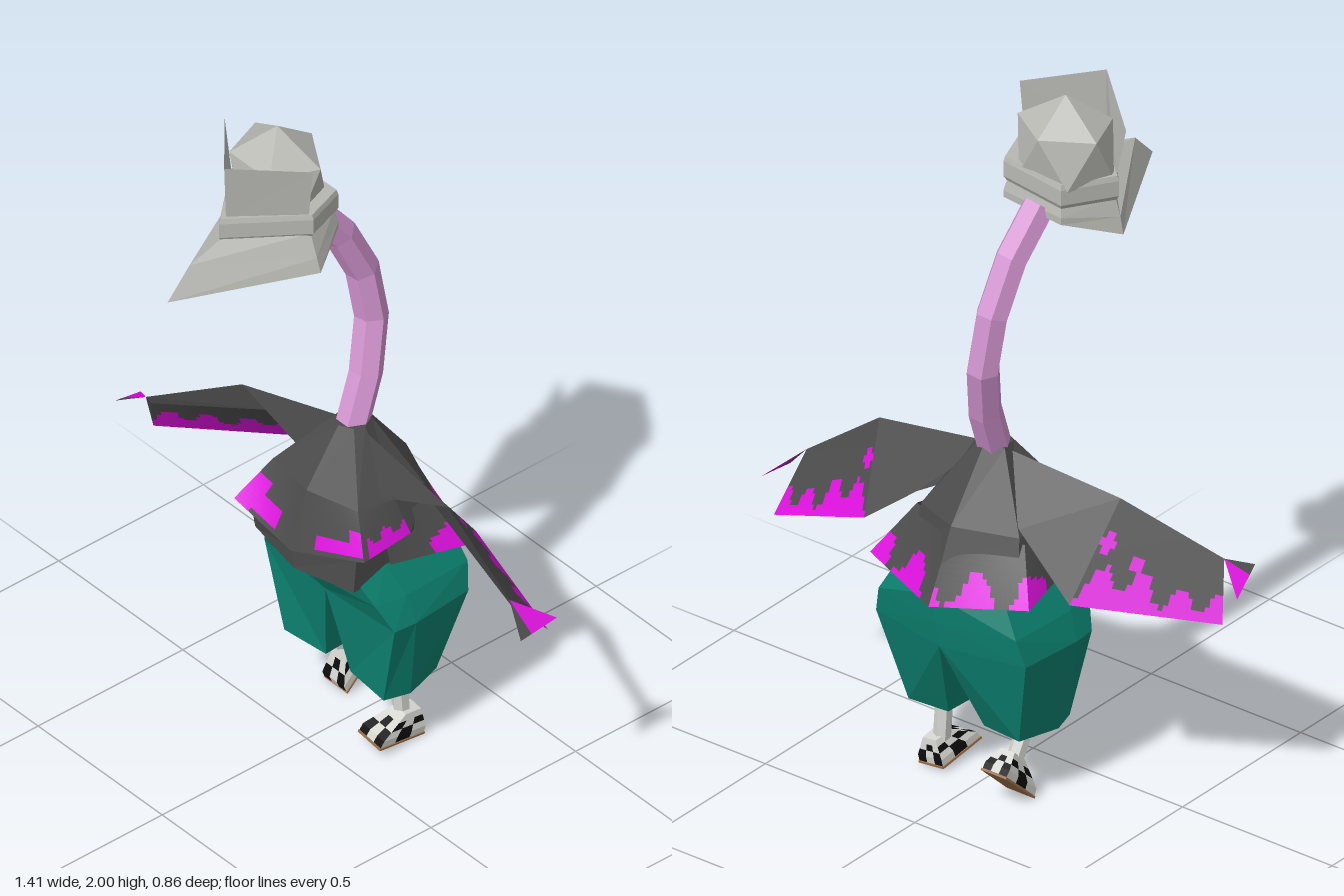
import * as THREE from 'three';

const mat = (name, color, side = THREE.FrontSide) =>
  new THREE.MeshStandardMaterial({ name, color, side, flatShading: true });
const V = (p) => new THREE.Vector3(...p);

export function createModel() {
  const D = THREE.DoubleSide;
  const hatGrey = mat('hatGrey', 0xb8b8b3, D), skin = mat('pinkSkin', 0xd596d2);
  const jacket = mat('charcoal', 0x4b4b4b, D), trim = mat('magenta', 0xdc10dc, D);
  const teal = mat('teal', 0x0c8270), pale = mat('paleGrey', 0xd6d6d1);
  const black = mat('black', 0x0c0c0c), brown = mat('brown', 0xa0724a);
  const model = new THREE.Group();

  // Mesh from triangles sorted by material; closed bodies are turned to face outwards
  function build(name, tris, parent = model, closed = true) {
    let volume = 0;
    for (const [a, b, c] of tris) volume += a.dot(b.clone().cross(c));
    const mats = [...new Set(tris.map((t) => t[3]))];
    const pos = [], geo = new THREE.BufferGeometry();
    mats.forEach((m, k) => {
      const start = pos.length / 3;
      for (const [a, b, c, tm] of tris) {
        if (tm !== m) continue;
        for (const p of closed && volume < 0 ? [a, c, b] : [a, b, c]) pos.push(p.x, p.y, p.z);
      }
      geo.addGroup(start, pos.length / 3 - start, k);
    });
    geo.setAttribute('position', new THREE.Float32BufferAttribute(pos, 3));
    geo.computeVertexNormals();
    const mesh = new THREE.Mesh(geo, mats.length > 1 ? mats : mats[0]);
    mesh.name = name;
    parent.add(mesh);
  }

  // Four-cornered patch: a-b is the lower edge, d-c the upper; paint(u, v) picks each cell's colour
  function patch(a, b, c, d, nu, nv, paint) {
    const at = (u, v) => V(a).lerp(V(b), u).lerp(V(d).lerp(V(c), u), v);
    const out = [];
    for (let i = 0; i < nu; i++) for (let j = 0; j < nv; j++) {
      const u0 = i / nu, u1 = (i + 1) / nu, v0 = j / nv, v1 = (j + 1) / nv;
      const m = paint((u0 + u1) / 2, (v0 + v1) / 2);
      const [p, q, r, s] = [at(u0, v0), at(u1, v0), at(u1, v1), at(u0, v1)];
      out.push([p, q, r, m], [p, r, s, m]);
    }
    return out;
  }

  // Skin over rings of equal point count, with end caps; cells(row, seg) gives [nu, nv, paint]
  function loft(rings, m, cells = () => null) {
    const out = [], n = rings[0].length;
    for (let r = 0; r + 1 < rings.length; r++) for (let s = 0; s < n; s++) {
      const t = (s + 1) % n, lo = rings[r], hi = rings[r + 1];
      out.push(...patch(lo[s], lo[t], hi[t], hi[s], ...(cells(r, s) || [1, 1, () => m])));
    }
    [rings[0], rings.at(-1)].forEach((ring, k) => {
      const mid = ring.reduce((acc, p) => acc.add(V(p)), V([0, 0, 0])).divideScalar(n);
      ring.forEach((p, s) => {
        const q = V(ring[(s + 1) % n]);
        out.push(k ? [V(p), q, mid, m] : [q, V(p), mid, m]);
      });
    });
    return out;
  }

  // Dripping paint along a lower edge
  const drip = (base, amp, freq, phase = 0) => (u, v) =>
    v < base + amp * Math.tanh(2 * Math.sin(u * freq + phase)) + 0.06 * Math.sin(u * 9 + phase) ? trim : jacket;

  // Neck
  const neckPath = new THREE.CatmullRomCurve3([[0.01, 0.97, -0.145], [0, 1.1, -0.2],
    [-0.035, 1.32, -0.25], [-0.05, 1.54, -0.18], [-0.07, 1.7, -0.06]].map(V));
  const neckGeo = new THREE.TubeGeometry(neckPath, 5, 0.047, 6).toNonIndexed();
  neckGeo.computeVertexNormals();
  const neck = new THREE.Mesh(neckGeo, skin);
  neck.name = 'neck';
  model.add(neck);

  // Head: faceted crown, band, pointed brim and folded front plate
  const head = new THREE.Group();
  head.name = 'head';
  model.add(head);
  const crown = new THREE.Mesh(new THREE.IcosahedronGeometry(0.155, 0)
    .rotateZ(Math.atan(2 / (1 + Math.sqrt(5)))).rotateY(-Math.PI / 2).scale(1, 1, 0.86), hatGrey);
  crown.name = 'crown';
  crown.position.set(-0.09, 1.845, 0.025);
  head.add(crown);
  const bandPlan = [[-0.24, 0.06], [-0.075, 0.24], [0.085, 0.05], [0.04, -0.075], [-0.16, -0.085]];
  const bandRing = (y, k = 1) => bandPlan.map(([x, z]) =>
    [-0.08 + (x + 0.08) * k, y + x * 0.08, 0.05 + (z - 0.05) * k]);
  build('hatBand', loft([bandRing(1.735, 0.94), bandRing(1.75), bandRing(1.795), bandRing(1.81, 0.97)], hatGrey), head);
  build('brim', loft([
    [[-0.255, 1.62, 0.06], [-0.06, 1.635, 0.43], [0.12, 1.65, 0.055], [0.04, 1.69, -0.075], [-0.16, 1.68, -0.085]],
    [[-0.245, 1.67, 0.06], [-0.065, 1.715, 0.35], [0.105, 1.69, 0.055], [0.04, 1.71, -0.075], [-0.16, 1.7, -0.085]],
    bandRing(1.745, 0.93)], hatGrey), head);
  const fold = [[-0.075, 1.79, 0.215], [-0.065, 1.975, 0.23]], grey = () => hatGrey;
  build('frontPlate', [
    ...patch([-0.225, 1.77, 0.065], fold[0], fold[1], [-0.268, 1.94, 0.055], 1, 1, grey),
    ...patch(fold[0], [0.07, 1.79, 0.055], [0.088, 1.965, 0.055], fold[1], 1, 1, grey)], head, false);

  // Jacket body with an overhanging, painted chest hem; rings start at the front centre
  const chestPaint = {
    0: (u, v) => (v > 0.06 && u > 0.34 && v < (u > 0.8 ? 0.62 : 0.36) ? trim : jacket),
    1: (u, v) => (u > 0.12 && v < 0.35 + 0.12 * Math.sin(u * 14) ? trim : jacket),
    5: (u, v) => (u > 0.5 && v < 0.4 + 0.12 * Math.sin(u * 14) ? trim : jacket),
    6: (u, v) => (v < (u < 0.3 ? 0.68 : u < 0.7 ? 0.4 : 0) && v > u * 0.15 ? trim : jacket),
  };
  build('jacketBody', loft([
    [[0.01, 0.605, 0.055], [0.2, 0.61, 0.01], [0.2, 0.62, -0.15], [0.16, 0.62, -0.28], [0.01, 0.62, -0.37], [-0.18, 0.62, -0.26], [-0.185, 0.61, 0.02]],
    [[0.01, 0.665, 0.055], [0.2, 0.71, 0], [0.2, 0.72, -0.15], [0.16, 0.71, -0.28], [0.01, 0.71, -0.36], [-0.17, 0.71, -0.27], [-0.18, 0.71, 0.04]],
    [[0.01, 0.667, 0.065], [0.23, 0.722, 0], [0.22, 0.73, -0.17], [0.17, 0.72, -0.29], [0.01, 0.72, -0.38], [-0.18, 0.725, -0.29], [-0.2, 0.725, 0.08]],
    [[0.01, 0.84, 0.01], [0.16, 0.83, -0.04], [0.18, 0.83, -0.15], [0.16, 0.81, -0.27], [0.01, 0.82, -0.335], [-0.16, 0.81, -0.26], [-0.16, 0.83, -0.02]],
    [[0.01, 1, -0.1], [0.05, 1, -0.12], [0.06, 1, -0.15], [0.04, 1, -0.19], [0.01, 1, -0.2], [-0.04, 1, -0.17], [-0.03, 1, -0.12]],
  ], jacket, (row, seg) => (row === 2 && chestPaint[seg] ? [16, 12, chestPaint[seg]] : null)));

  // Flared tail of the jacket
  const tailTop = [[-0.17, 0.76, -0.1], [-0.17, 0.79, -0.25], [0.01, 0.81, -0.335], [0.19, 0.79, -0.25], [0.19, 0.76, -0.1]];
  const tailHem = [[-0.2, 0.67, -0.1], [-0.255, 0.66, -0.34], [0.01, 0.62, -0.43], [0.28, 0.648, -0.335], [0.22, 0.66, -0.1]];
  const tailPaint = [
    (u, v) => (u > 0.55 && v < u * 0.5 ? trim : jacket), drip(0.25, 0.2, 11, 2),
    drip(0.25, 0.2, 11, 4), (u, v) => (u < 0.45 && v < 0.5 - u * 0.5 ? trim : jacket)];
  build('jacketTail', tailPaint.flatMap((paint, i) => patch(tailHem[i], tailHem[i + 1],
    tailTop[i + 1], tailTop[i], 20, 12, paint)), model, false);

  // Wings: sections of [ridge, lower front edge, trailing edge], then a forked tip
  function wing(name, [root, mid, end], tipFront, tipBack, spots) {
    const plain = () => jacket, out = [];
    const backDrip = drip(0.27, 0.13, 22, -1.2), underDrip = drip(0.47, 0.16, 22, 1);
    const back = (u, v) => (spots.some(([x, y]) => Math.hypot((u - x) * 0.4, (v - y) * 0.25) < 0.023)
      ? trim : backDrip(u, v));
    for (const [p, q] of [[root, mid], [mid, end]]) {
      const size = p === mid ? [32, 14] : [1, 1];
      out.push(...patch(p[1], q[1], q[0], p[0], 1, 1, plain));
      out.push(...patch(p[2], q[2], q[0], p[0], ...size, p === mid ? back : plain));
      out.push(...patch(p[2], q[2], q[1], p[1], ...size, p === mid ? underDrip : plain));
    }
    out.push([...end.map(V), jacket]);
    const [tip, a, b] = [V(end[0]), V(tipFront), V(tipBack)], c = a.clone().lerp(b, 0.3);
    out.push([tip, a, c, jacket], [tip, c, b, trim]);
    build(name, out, model, false);
  }
  wing('rightWing', [
    [[0, 0.99, -0.15], [-0.13, 0.83, -0.1], [-0.15, 0.83, -0.25]],
    [[-0.36, 0.925, -0.085], [-0.265, 0.865, -0.14], [-0.335, 0.675, -0.27]],
    [[-0.62, 0.785, 0.025], [-0.61, 0.765, 0.015], [-0.665, 0.63, -0.04]]],
  [-0.68, 0.765, 0.08], [-0.71, 0.72, -0.035], [[0.06, 0.6], [0.33, 0.5]]);
  wing('leftWing', [
    [[0.02, 0.99, -0.15], [0.13, 0.83, -0.11], [0.19, 0.825, -0.25]],
    [[0.395, 0.93, -0.15], [0.28, 0.87, -0.185], [0.32, 0.725, -0.31]],
    [[0.63, 0.755, -0.16], [0.63, 0.735, -0.165], [0.645, 0.605, -0.28]]],
  [0.705, 0.675, -0.135], [0.705, 0.69, -0.26], [[0.06, 0.62]]);

  // Baggy shorts, one mirrored loft per leg
  const shortsRings = [
    [0.21, [[0.05, -0.1], [0.2, -0.085], [0.222, -0.16], [0.185, -0.28], [0.06, -0.27]]],
    [0.48, [[0, -0.055], [0.262, -0.07], [0.268, -0.14], [0.25, -0.335], [0, -0.385]]],
    [0.56, [[0, -0.005], [0.225, -0.035], [0.24, -0.13], [0.23, -0.35], [0, -0.4]]],
    [0.65, [[0, 0.035], [0.17, 0], [0.19, -0.1], [0.18, -0.335], [0, -0.41]]]];
  for (const s of [-1, 1]) {
    build(s < 0 ? 'rightShorts' : 'leftShorts', loft(shortsRings.map(([y, ring]) =>
      ring.map(([x, z]) => [0.01 + s * x, y, z])), teal));
  }

  // Legs with pale socks and chequered shoes
  function rod(name, a, b, r, m) {
    const dir = V(b).sub(V(a));
    const mesh = new THREE.Mesh(new THREE.CylinderGeometry(r, r, dir.length(), 6), m);
    mesh.name = name;
    mesh.position.copy(V(a)).addScaledVector(dir, 0.5);
    mesh.quaternion.setFromUnitVectors(new THREE.Vector3(0, 1, 0), dir.normalize());
    model.add(mesh);
  }
  const plan = (y, w, back, front) => [[-w, y, back], [w, y, back], [w * 1.1, y, front], [-w * 1.1, y, front]];
  function leg(side, hip, knee, ankle, pos, rot) {
    rod(side + 'Leg', hip, knee, 0.02, skin);
    rod(side + 'Sock', knee, ankle, 0.024, pale);
    const shoe = new THREE.Group();
    shoe.name = side + 'Shoe';
    shoe.position.set(...pos);
    shoe.rotation.set(...rot);
    build('sole', loft([plan(-0.006, 0.042, -0.06, 0.1), plan(0, 0.042, -0.06, 0.1)], brown), shoe);
    const check = (row, seg) => [3, row ? 3 : 1, (u, v) =>
      ((Math.floor(u * 3) + Math.floor(v * 3) + row + seg) % 2 && v < 0.67 ? black : pale)];
    build('upper', loft([plan(0.001, 0.04, -0.058, 0.097), plan(0.02, 0.04, -0.058, 0.09),
      plan(0.07, 0.022, -0.045, 0.01)], pale, check), shoe);
    model.add(shoe);
  }
  leg('right', [-0.13, 0.24, -0.19], [-0.13, 0.18, -0.21], [-0.127, 0.11, -0.245], [-0.122, 0.075, -0.275], [0.75, 0, 0]);
  leg('left', [0.14, 0.24, -0.19], [0.14, 0.175, -0.2], [0.143, 0.07, -0.205], [0.145, 0.024, -0.19], [-0.15, 0, -0.12]);

  return model;
}
